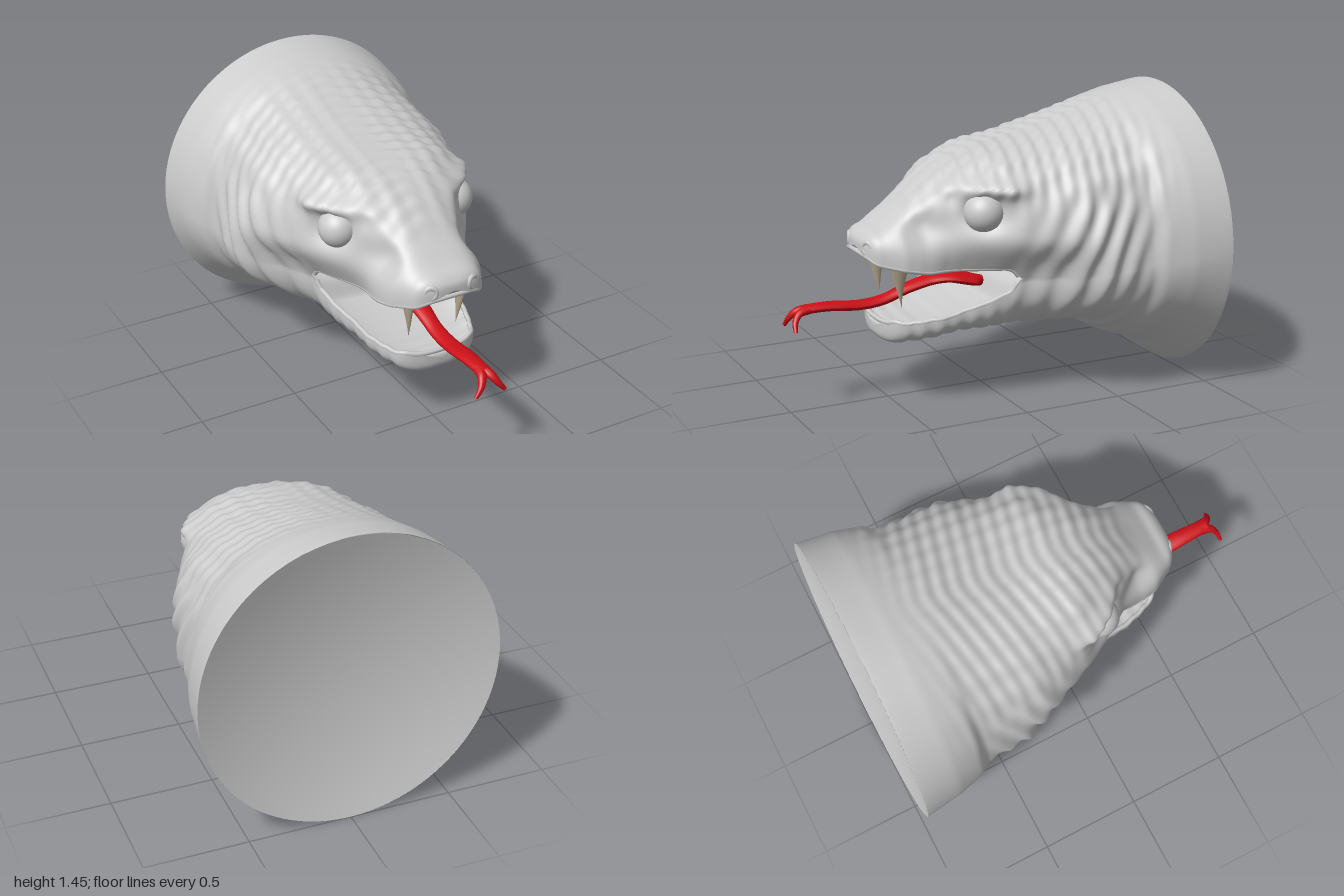
import * as THREE from 'three';
import { mergeGeometries, mergeVertices } from 'three/addons/utils/BufferGeometryUtils.js';

const { smoothstep } = THREE.MathUtils;
const V = (x, y, z) => new THREE.Vector3(x, y, z);
const bell = (v, mid, s) => Math.exp(-(((v - mid) / s) ** 2));

// Softened piecewise-linear profile along z from [z, value] pairs
function profile(...pts) {
  const lin = z => {
    if (z <= pts[0][0]) return pts[0][1];
    for (let i = 1; i < pts.length; i++) {
      const [a, va] = pts[i - 1], [b, vb] = pts[i];
      if (z <= b) return va + (vb - va) * (z - a) / (b - a);
    }
    return pts[pts.length - 1][1];
  };
  return z => (lin(z - 0.012) + lin(z) + lin(z + 0.012)) / 3;
}

// Surface through rows x columns of points
function grid(rows, cols, point) {
  const pos = [], idx = [];
  for (let r = 0; r <= rows; r++) for (let c = 0; c <= cols; c++) {
    pos.push(...point(r, c / cols).toArray());
    if (r < rows && c < cols) {
      const a = r * (cols + 1) + c, d = a + cols + 1;
      idx.push(a, a + 1, d, a + 1, d + 1, d);
    }
  }
  const g = new THREE.BufferGeometry();
  g.setAttribute('position', new THREE.Float32BufferAttribute(pos, 3));
  g.setIndex(idx);
  return g;
}

// Upper and lower half of the head share a seam behind the mouth corner
const seam = [[-1, 0.73], [-0.6, 0.68], [-0.03, 0.625]];
const sides = [[-1, 0.725], [-0.8, 0.7], [-0.66, 0.66], [-0.62, 0.62], [-0.5, 0.61], [-0.4, 0.615], [-0.28, 0.61], [-0.2, 0.575], [-0.03, 0.495]];
const upper = {
  end: 0.66, sign: 1, nose: 0.79,
  width: profile(...sides, [0.1, 0.425], [0.2, 0.365], [0.3, 0.3], [0.4, 0.265], [0.5, 0.25], [0.6, 0.19], [0.66, 0.17]),
  lip: profile(...seam, [-0.01, 0.665], [0.03, 0.685], [0.4, 0.68], [0.55, 0.71], [0.66, 0.735]),
  edge: profile([-1, 1.46], [-0.8, 1.43], [-0.6, 1.375], [-0.4, 1.31], [-0.2, 1.255], [0.05, 1.215], [0.2, 1.16], [0.3, 1.1], [0.4, 1.02], [0.47, 0.955], [0.57, 0.88], [0.66, 0.85]),
  power: profile([-1, 1], [-0.6, 0.9], [-0.2, 0.79], [0.05, 0.64], [0.2, 0.7], [0.4, 0.76], [0.52, 0.68], [0.66, 0.58]),
  hollow: profile([-0.13, 0], [0, 0.07], [0.3, 0.06], [0.6, 0.02]),
};
const lower = {
  end: 0.57, sign: -1, nose: 0.38,
  width: profile(...sides, [0, 0.47], [0.1, 0.445], [0.2, 0.405], [0.3, 0.335], [0.4, 0.26], [0.5, 0.215], [0.57, 0.18]),
  lip: profile(...seam, [-0.005, 0.565], [0.1, 0.52], [0.3, 0.455], [0.5, 0.43], [0.57, 0.45]),
  edge: profile([-1, 0.005], [-0.9, 0.07], [-0.8, 0.14], [-0.6, 0.22], [-0.45, 0.32], [-0.2, 0.33], [0.2, 0.345], [0.4, 0.32], [0.57, 0.31]),
  power: profile([-1, 1], [-0.6, 1.04], [-0.3, 1.02], [-0.1, 0.88], [0.05, 0.76], [0.57, 0.62]),
  hollow: profile([-0.13, 0], [0, 0.1], [0.3, 0.07], [0.5, 0.06], [0.57, 0.01]),
};
const steps = Array.from({ length: 170 }, (_, i) => -1 + 1.65 * i / 169).concat([0.654, 0.657, 0.659, 0.66]);
const ROWS = steps.length - 1;

// Scale rows on the crown, folds on the cheeks, belly ridges
function wrinkle(x, y, z) {
  const m = smoothstep(z, -0.8, -0.5) * (1 - smoothstep(z, 0.45, 0.6));
  const top = smoothstep(y, 0.9, 1.12), belly = 1 - smoothstep(y, 0.35, 0.55);
  const T = Math.PI * 2;
  return m * (top * (0.004 * Math.sin(T * (z - 0.25 * Math.abs(x)) / 0.075) + 0.004 * Math.cos(T * x / 0.1))
    + (1 - top) * (1 - belly) * 0.014 * Math.sin(T * (z + 0.3 * y) / 0.12 + 1.5 * Math.sin(7 * y)) * bell(z, -0.35, 0.24)
    + belly * 0.004 * Math.sin(T * z / 0.08));
}

// Point on the outer skin; t runs from one lip to the other
function skin(jaw, r, t) {
  const s = steps[r], z = s > 0 ? s * jaw.end / 0.66 : s;
  const k = s > 0.6 ? Math.sqrt(Math.max(0, 1 - ((s - 0.6) / 0.06) ** 2)) ** 0.7 : 1;
  const a = Math.PI * t, e = jaw.power(z), lip = jaw.lip(z);
  const c = Math.cos(a);
  let x = jaw.sign * Math.sign(c) * Math.abs(c) ** e * jaw.width(z) * k;
  let y = lip + (jaw.edge(z) - lip) * Math.max(0, Math.sin(a)) ** e;
  y = jaw.nose + (y - jaw.nose) * k;
  // cheeks overhang the narrower mouth corner
  x *= 1 - 0.25 * smoothstep(z, -0.45, -0.05) * (1 - smoothstep(z, 0.2, 0.45)) * (1 - smoothstep(y, 0.62, 0.85));
  const d = wrinkle(x, y, z) / Math.max(0.2, Math.hypot(x, y - 0.72));
  x *= 1 + d;
  y += (y - 0.72) * d;
  if (jaw === upper) {
    // brow ridge, eye socket and hollow along the snout
    const side = Math.sign(x) * smoothstep(Math.abs(x), 0.1, 0.24);
    x += side * (0.065 * bell(z, 0.13, 0.14) * bell(y, 1.07, 0.04)
      - 0.06 * bell(z, 0.14, 0.09) * bell(y, 0.95, 0.075)
      - 0.045 * bell(z, 0.4, 0.12) * bell(y, 0.89, 0.08));
  }
  return V(x, y, z + 0.03 * (y / 1.46) * (1 - smoothstep(z, -1, -0.8)));
}

// Mouth lining hung between the lips
function lining(jaw, r, t) {
  const p = skin(jaw, r, 0), a = Math.PI * t;
  const inset = steps[r] < 0 ? 0.97 : 1, k = Math.min(1, Math.abs(p.x) / 0.1);
  return V(p.x * inset * Math.cos(a), p.y + jaw.sign * k * jaw.hollow(p.z) * Math.max(0, Math.sin(a)) ** 0.6, p.z);
}

// Round tube along a curve whose cross-section follows size(t) = [half width, half height]
function taper(points, size, seg = 32, sides = 14) {
  const curve = new THREE.CatmullRomCurve3(points);
  const g = new THREE.TubeGeometry(curve, seg, 1, sides);
  const p = g.attributes.position, v = V();
  for (let i = 0; i < p.count; i++) {
    const t = Math.floor(i / (sides + 1)) / seg, c = curve.getPointAt(t), [w, h] = size(t);
    v.fromBufferAttribute(p, i).sub(c).multiply(V(w, h, h)).add(c);
    p.setXYZ(i, v.x, v.y, v.z);
  }
  g.computeVertexNormals();
  return g;
}

export function createModel() {
  const group = new THREE.Group();
  const grey = new THREE.MeshStandardMaterial({ color: 0xcccccc });
  const greyBoth = new THREE.MeshStandardMaterial({ color: 0xcccccc, side: THREE.DoubleSide });
  const red = new THREE.MeshStandardMaterial({ color: 0xcc1018 });
  const ivory = new THREE.MeshStandardMaterial({ color: 0xb8a98f });
  const add = (name, geo, mat = grey) => {
    const m = new THREE.Mesh(geo, mat);
    m.name = name;
    group.add(m);
    return m;
  };

  // Head and neck skin, welded along the seam
  const halves = [upper, lower].map(j => grid(ROWS, 72, (r, t) => skin(j, r, t)));
  const hide = mergeVertices(mergeGeometries(halves), 1e-4);
  hide.computeVertexNormals();
  add('headSkin', hide, greyBoth);

  // Palate, mouth floor and rounded lips
  const first = steps.findIndex(z => z > -0.15), mouth = steps.findIndex(z => z > -0.03);
  for (const [jaw, name, lipName] of [[upper, 'palate', 'upperLip'], [lower, 'mouthFloor', 'lowerLip']]) {
    const g = grid(ROWS - first, 28, (r, t) => lining(jaw, r + first, t));
    g.computeVertexNormals();
    add(name, g, greyBoth);
    const half = [];
    for (let r = mouth; r < ROWS - 1; r += 3) half.push(skin(jaw, r, 0).multiply(V(0.965, 1, 0.985)));
    const path = half.concat(half.slice().reverse().map(p => V(-p.x, p.y, p.z)));
    add(lipName, new THREE.TubeGeometry(new THREE.CatmullRomCurve3(path), 140, 0.012, 8));
  }

  // Dished neck end
  const dish = Array.from({ length: 13 }, (_, i) => new THREE.Vector2(0.725 * i / 12, 0.1 * (1 - (i / 12) ** 2)));
  const cap = add('neckEnd', new THREE.LatheGeometry(dish, 72), greyBoth);
  cap.rotation.x = Math.PI / 2 + 0.02;
  cap.position.set(0, 0.732, -0.985);

  // Eyes, nostrils and fangs on both sides
  for (const [s, side] of [[1, 'left'], [-1, 'right']]) {
    add(side + 'Eye', new THREE.SphereGeometry(0.098, 32, 20)).position.set(s * 0.312, 0.957, 0.135);
    const nostril = add(side + 'Nostril', new THREE.TorusGeometry(0.027, 0.013, 10, 20));
    nostril.position.set(s * 0.11, 0.795, 0.638);
    nostril.rotation.y = s * 0.4;
    const fang = [V(s * 0.142, 0.72, 0.49), V(s * 0.14, 0.65, 0.49), V(s * 0.135, 0.57, 0.487), V(s * 0.13, 0.49, 0.478)];
    add(side + 'Fang', taper(fang, t => [0.026 * (1 - t) + 0.001, 0.055 * (1 - t) ** 1.3 + 0.001]), ivory);
    const tip = [V(s * 0.008, 0.505, 0.9), V(s * 0.022, 0.495, 0.95), V(s * 0.045, 0.46, 0.98), V(s * 0.078, 0.42, 0.99)];
    add(side + 'TongueTip', taper(tip, t => [0.03 - 0.02 * t, 0.022 - 0.013 * t], 16), red);
  }

  // Tongue, broad at the root
  const wide = profile([0, 0.03], [0.06, 0.1], [0.15, 0.1], [0.3, 0.055], [0.5, 0.04], [0.8, 0.046], [0.95, 0.038], [1, 0.03]);
  const spine = [V(0, 0.53, 0), V(0, 0.55, 0.08), V(0, 0.575, 0.2), V(0, 0.545, 0.38), V(0, 0.5, 0.52),
    V(0, 0.49, 0.64), V(0, 0.505, 0.8), V(0, 0.505, 0.94)];
  add('tongue', taper(spine, t => [wide(t), 0.027 - 0.006 * t], 60, 18), red);
  return group;
}
